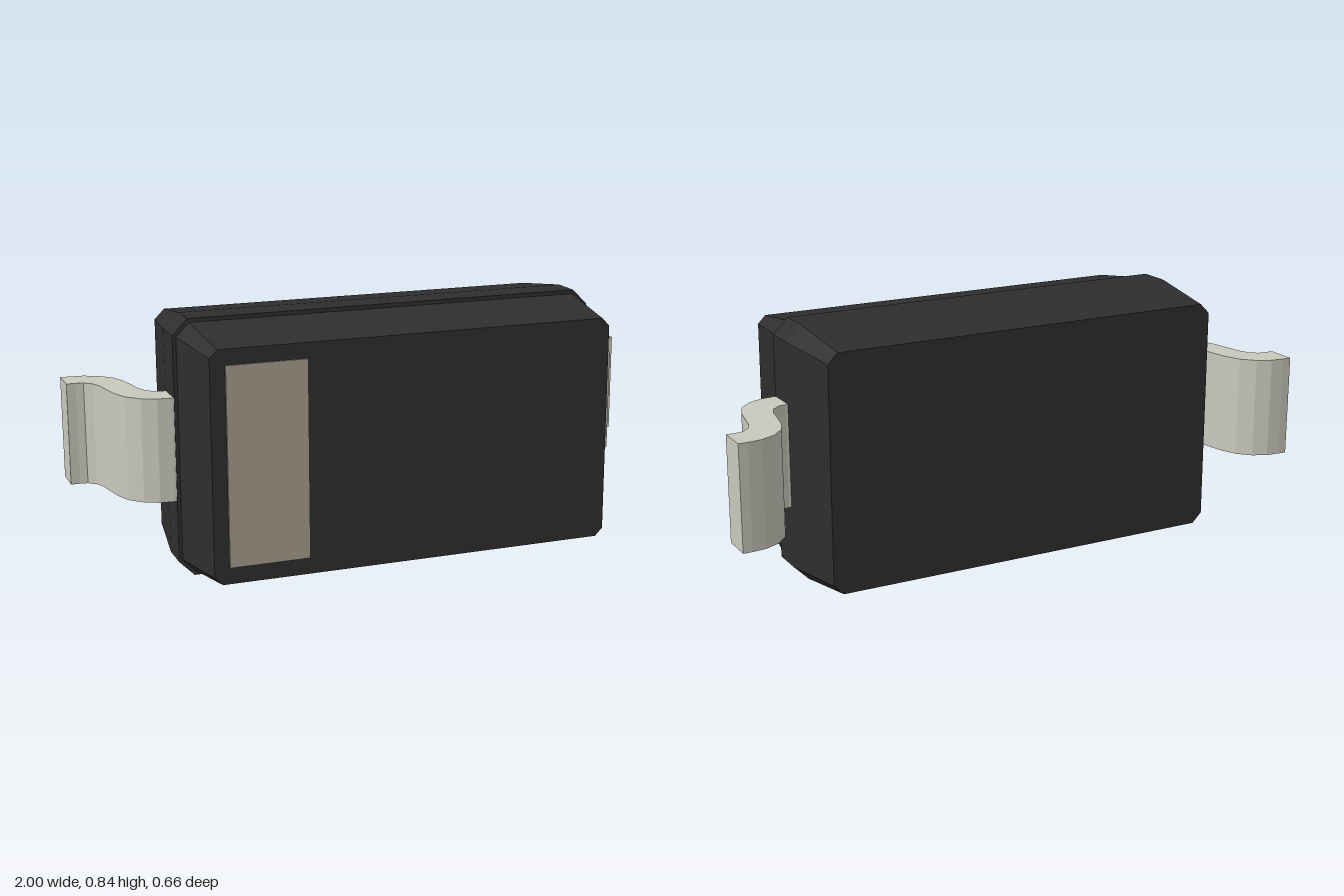
import * as THREE from 'three';

const MID_Y = 0.422;

const paint = (color) => new THREE.MeshStandardMaterial({ color, flatShading: true });

// Rectangle with cut corners, counter-clockwise seen from +z
function ring(z, w, h, c) {
  return [[w, c - h], [w, h - c], [w - c, h], [c - w, h], [-w, h - c], [-w, c - h], [c - w, -h], [w - c, -h]]
    .map(([x, y]) => [x, y + MID_Y, z]);
}

// Closed solid through a series of rings, ordered back to front
function loft(rings) {
  const pos = [];
  const n = rings[0].length;
  for (let r = 0; r < rings.length - 1; r++) {
    for (let i = 0; i < n; i++) {
      const j = (i + 1) % n;
      const [a, b, c, d] = [rings[r][i], rings[r][j], rings[r + 1][j], rings[r + 1][i]];
      pos.push(...a, ...b, ...c, ...a, ...c, ...d);
    }
  }
  const back = rings[0], front = rings[rings.length - 1];
  for (let i = 1; i < n - 1; i++) {
    pos.push(...back[0], ...back[i + 1], ...back[i]);
    pos.push(...front[0], ...front[i], ...front[i + 1]);
  }
  const geo = new THREE.BufferGeometry();
  geo.setAttribute('position', new THREE.Float32BufferAttribute(pos, 3));
  geo.computeVertexNormals();
  return geo;
}

// S-bent strip profile in x and z; the second edge is the first turned half round
function leadGeometry(side) {
  const edge = [
    [0.70, 0.072], [0.73, 0.072], [0.775, 0.067], [0.822, 0.045], [0.862, 0.003], [0.883, -0.05], [0.893, -0.1],
    [0.905, -0.17], [0.92, -0.205], [0.945, -0.228], [0.97, -0.232], [1, -0.232],
  ];
  const other = edge.map(([x, z]) => [1.7 - x, -0.262 - z]);
  const outline = [...edge, ...other].map(([x, z]) => new THREE.Vector2(side * x, -z));
  const geo = new THREE.ExtrudeGeometry(new THREE.Shape(outline), { depth: 0.34, bevelEnabled: false });
  geo.rotateX(-Math.PI / 2);
  geo.translate(0, 0.254, 0);
  return geo;
}

export function createModel() {
  const group = new THREE.Group();
  const add = (name, geo, material) => {
    const mesh = new THREE.Mesh(geo, material);
    mesh.name = name;
    group.add(mesh);
    return mesh;
  };

  // Moulded package, with a small step where the two halves meet
  add('body', loft([
    ring(-0.278, 0.69, 0.387, 0.033),
    ring(-0.03, 0.722, 0.422, 0.05),
    ring(0.075, 0.722, 0.422, 0.05),
    ring(0.075, 0.71, 0.409, 0.043),
    ring(0.326, 0.675, 0.373, 0.026),
  ]), paint(0x2e2e2e));

  // Polarity band on the front face
  add('polarityBand', new THREE.BoxGeometry(0.262, 0.642, 0.02), paint(0xa89f8e))
    .position.set(-0.495, 0.424, 0.321);

  // Bent metal leads
  const metal = paint(0xc8c8bc);
  add('leftLead', leadGeometry(1), metal);
  add('rightLead', leadGeometry(-1), metal);

  return group;
}
